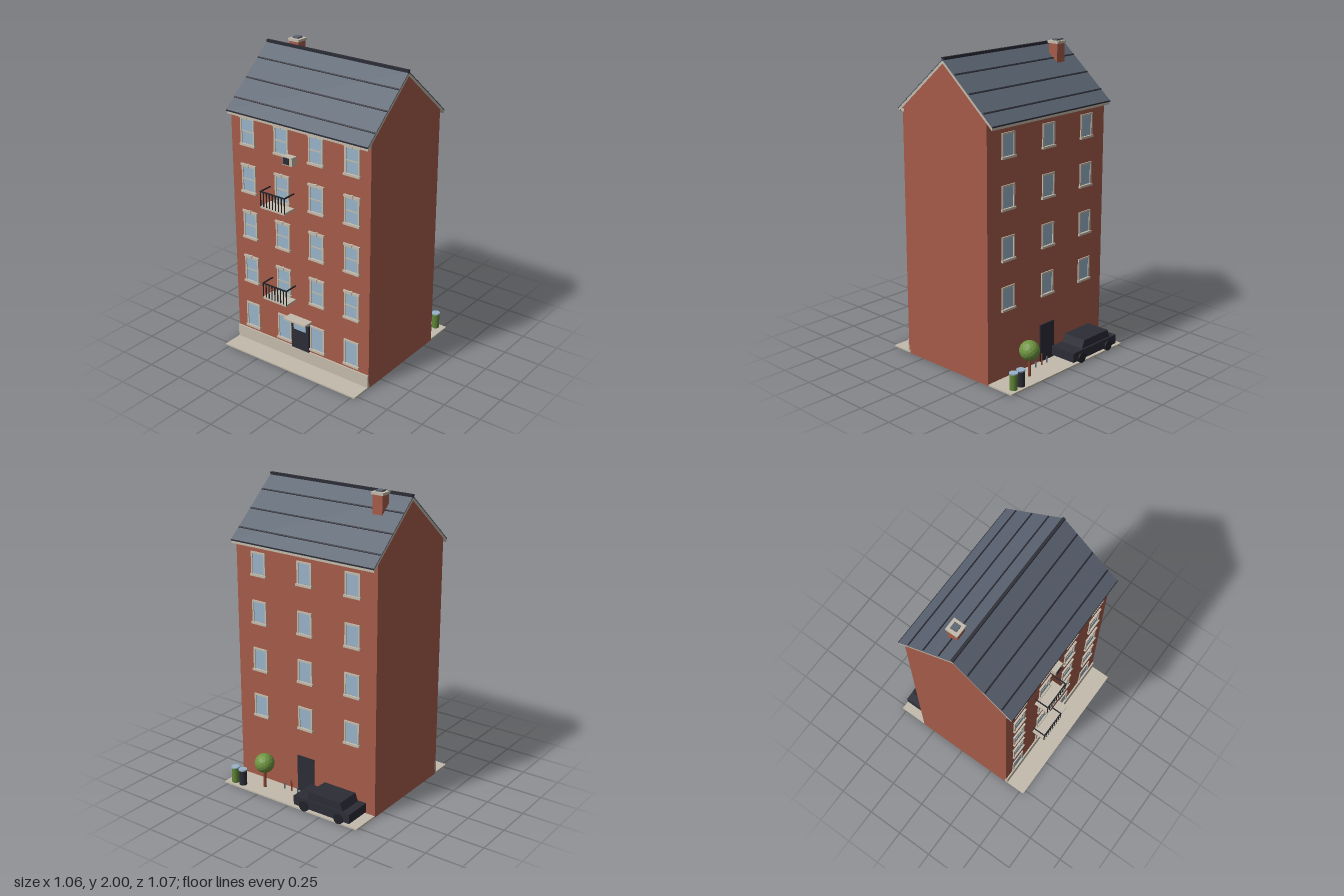
import * as THREE from 'three';

const mat = (name, color, extra = {}) => {
  const m = new THREE.MeshStandardMaterial({ color, ...extra });
  m.name = name;
  return m;
};

export function createModel() {
  const brick = mat('brick red', 0xa65b49);
  const stone = mat('pale stone', 0xc3bbac);
  const slate = mat('roof slate', 0x5c6573);
  const dark = mat('charcoal', 0x2c2c36);
  const iron = mat('black iron', 0x1f2228);
  const glass = mat('window glass', 0x98b3c9);
  const leaf = mat('leaf green', 0x6e9440, { flatShading: true });
  const bark = mat('bark brown', 0x8a4632);

  const model = new THREE.Group();
  model.name = 'townHouse';
  const group = (name, parent = model) => {
    const g = new THREE.Group();
    g.name = name;
    parent.add(g);
    return g;
  };
  const mesh = (name, geo, m, parent = model) => {
    const o = new THREE.Mesh(geo, m);
    o.name = name;
    parent.add(o);
    return o;
  };
  // Box given by its min and max on each axis
  const box = (name, m, [x0, x1], [y0, y1], [z0, z1], parent) => {
    const o = mesh(name, new THREE.BoxGeometry(x1 - x0, y1 - y0, z1 - z0), m, parent);
    o.position.set((x0 + x1) / 2, (y0 + y1) / 2, (z0 + z1) / 2);
    return o;
  };
  const cyl = (name, m, r, y0, y1, x, z, parent, sides = 16) => {
    const o = mesh(name, new THREE.CylinderGeometry(r, r, y1 - y0, sides), m, parent);
    o.position.set(x, (y0 + y1) / 2, z);
    return o;
  };
  // Cross-section in (z, y) extruded along x, centred on x = 0
  const prism = (name, m, pts, width, parent) => {
    const s = new THREE.Shape(pts.map(([z, y]) => new THREE.Vector2(-z, y)));
    const g = new THREE.ExtrudeGeometry(s, { depth: width, bevelEnabled: false });
    g.translate(0, 0, -width / 2).rotateY(Math.PI / 2);
    return mesh(name, g, m, parent);
  };

  const FRONT = 0.385, BACK = -0.335, RIDGE = 0.022, SLOPE = 0.85, PEAK = 1.966;
  const roofY = z => PEAK - SLOPE * Math.abs(z - RIDGE);

  // Ground and walls
  box('pavement', stone, [-0.528, 0.528], [0, 0.01], [-0.53, 0.53]);
  prism('walls', brick, [[FRONT, 0.001], [FRONT, roofY(FRONT) - 0.02], [RIDGE, PEAK - 0.02],
    [BACK, roofY(BACK) - 0.02], [BACK, 0.001]], 1.06);
  box('plinth', stone, [-0.53, 0.53], [0.005, 0.095], [FRONT - 0.01, 0.395]);
  box('cornice', stone, [-0.53, 0.53], [1.603, 1.622], [FRONT - 0.01, 0.4]);

  // Roof: stone verge layer below, slate above, battens and ridge cap
  const roof = group('roof');
  const layer = (name, m, hi, lo, reach, width) => prism(name, m, [
    [RIDGE + reach, roofY(RIDGE + reach) - hi], [RIDGE, PEAK - hi], [RIDGE - reach, roofY(RIDGE - reach) - hi],
    [RIDGE - reach, roofY(RIDGE - reach) - lo], [RIDGE, PEAK - lo], [RIDGE + reach, roofY(RIDGE + reach) - lo],
  ], width, roof);
  layer('verge', stone, 0.008, 0.028, 0.4, 1.062);
  layer('slates', slate, 0, 0.008, 0.404, 1.064);
  const tilt = Math.atan(SLOPE);
  for (const side of [1, -1]) {
    for (const d of [0.099, 0.215, 0.33]) {
      const b = mesh('batten', new THREE.BoxGeometry(1.056, 0.008, 0.009), dark, roof);
      b.position.set(0, roofY(RIDGE + d) + 0.001, RIDGE + side * d);
      b.rotation.x = side * tilt;
    }
    const e = mesh('eavesEdge', new THREE.BoxGeometry(1.064, 0.008, 0.006), dark, roof);
    e.position.set(0, roofY(RIDGE + 0.404) - 0.003, RIDGE + side * 0.404);
  }
  box('ridgeCap', dark, [-0.532, 0.532], [1.954, 1.975], [RIDGE - 0.009, RIDGE + 0.009], roof);

  // Chimney
  const chimney = group('chimney');
  box('stack', brick, [-0.402, -0.333], [1.8, 1.976], [-0.108, -0.038], chimney);
  box('cap', stone, [-0.409, -0.326], [1.974, 1.99], [-0.115, -0.032], chimney);
  box('flue', slate, [-0.389, -0.346], [1.99, 2], [-0.095, -0.052], chimney);

  // Sash window facing +z, origin at the bottom centre of its opening
  const makeWindow = (parent, x, y, z, h, { lintel, transom }, back) => {
    const w = group('window', parent);
    const hw = 0.055, t = 0.012;
    box('glass', glass, [-hw + t, hw - t], [t, h - t], [-0.005, 0.003], w);
    for (const s of [-1, 1]) {
      const c = s * (hw - t / 2);
      box('jamb', stone, [c - t / 2, c + t / 2], [0, h], [-0.005, 0.008], w);
    }
    box('head', stone, [-hw, hw], [h - t, h], [-0.005, 0.008], w);
    box('sill', stone, [-0.06, 0.06], [-0.004, t - 0.002], [-0.005, 0.015], w);
    if (transom) box('transom', stone, [-hw + t, hw - t], [h / 2 - 0.004, h / 2 + 0.004], [-0.005, 0.006], w);
    if (lintel) {
      box('lintel', stone, [-0.06, 0.06], [h - 0.006, h + 0.008], [-0.005, 0.012], w);
      box('keystone', stone, [-0.008, 0.008], [h - 0.008, h + 0.012], [-0.005, 0.016], w);
    }
    w.position.set(x, y, z);
    if (back) w.rotation.y = Math.PI;
  };
  const frontWindows = group('frontWindows'), backWindows = group('backWindows');
  for (const x of [-0.398, -0.132, 0.132, 0.398]) {
    makeWindow(frontWindows, x, 0.12, FRONT, 0.178, {});
    for (const y of [0.453, 0.771, 1.089, 1.406])
      makeWindow(frontWindows, x, y, FRONT, 0.182, { lintel: true, transom: true });
  }
  for (const x of [-0.355, 0, 0.355])
    for (const y of [0.453, 0.771, 1.089, 1.406])
      makeWindow(backWindows, x, y, BACK, 0.153, {}, true);

  // Doors
  const door = group('frontDoor');
  box('leaf', dark, [-0.069, 0.069], [0.095, 0.29], [FRONT - 0.01, 0.4], door);
  box('doorLight', glass, [-0.048, 0.048], [0.236, 0.28], [0.398, 0.403], door);
  box('doorHead', stone, [-0.072, 0.072], [0.29, 0.306], [FRONT - 0.01, 0.402], door);
  box('canopy', stone, [-0.087, 0.087], [0.314, 0.325], [FRONT - 0.01, 0.457], door);
  box('backDoor', dark, [-0.065, 0.065], [0.01, 0.26], [BACK - 0.008, BACK + 0.01]);

  // Balconies with iron railings
  for (const y of [0.43, 1.064]) {
    const b = group('balcony');
    const x0 = -0.232, x1 = -0.037, zf = 0.483, top = y + 0.114;
    box('floor', stone, [x0 + 0.003, x1 - 0.003], [y, y + 0.013], [FRONT - 0.01, zf], b);
    box('frontRail', iron, [x0, x1], [top - 0.007, top], [zf - 0.007, zf], b);
    for (const x of [x0, x1 - 0.007])
      box('sideRail', iron, [x, x + 0.007], [top - 0.007, top], [FRONT, zf], b);
    for (let i = 0; i <= 8; i++) {
      const x = x0 + 0.0035 + (x1 - x0 - 0.007) * i / 8;
      box('baluster', iron, [x - 0.0027, x + 0.0027], [y + 0.01, top], [zf - 0.006, zf - 0.001], b);
    }
  }

  // Air conditioner
  const ac = group('airConditioner');
  box('casing', stone, [-0.092, -0.017], [1.37, 1.425], [FRONT - 0.01, 0.43], ac);
  box('grille', dark, [-0.085, -0.038], [1.377, 1.419], [0.428, 0.434], ac);

  // Parked car
  const car = group('car');
  box('body', dark, [-0.47, -0.045], [0.025, 0.087], [-0.528, -0.345], car);
  const cabin = box('cabin', dark, [-0.415, -0.14], [0.087, 0.14], [-0.517, -0.354], car);
  const p = cabin.geometry.attributes.position;
  for (let i = 0; i < p.count; i++) if (p.getY(i) > 0) p.setX(i, p.getX(i) * 0.86);
  cabin.geometry.computeVertexNormals();
  for (const x of [-0.39, -0.125])
    for (const z of [-0.523, -0.352]) {
      const w = mesh('wheel', new THREE.CylinderGeometry(0.034, 0.034, 0.024, 16), iron, car);
      w.rotation.x = Math.PI / 2;
      w.position.set(x, 0.036, z);
    }

  // Tree, bins and small posts
  const tree = group('tree');
  cyl('trunk', bark, 0.01, 0.008, 0.14, 0.265, -0.433, tree, 8);
  mesh('crown', new THREE.IcosahedronGeometry(0.065, 2), leaf, tree).position.set(0.265, 0.182, -0.433);
  const binGreen = mat('bin green', 0x5f8538);
  for (const [x, m] of [[0.403, dark], [0.467, binGreen]]) {
    const bin = group('bin');
    cyl('binBody', m, 0.025, 0.008, 0.112, x, -0.489, bin);
    cyl('binLid', glass, 0.028, 0.112, 0.121, x, -0.489, bin);
  }
  for (const [x, m, h] of [[0.04, slate, 0.05], [0.09, bark, 0.085], [0.145, slate, 0.05]])
    cyl('post', m, 0.005, 0.008, h, x, -0.378, model, 8);

  return model;
}
